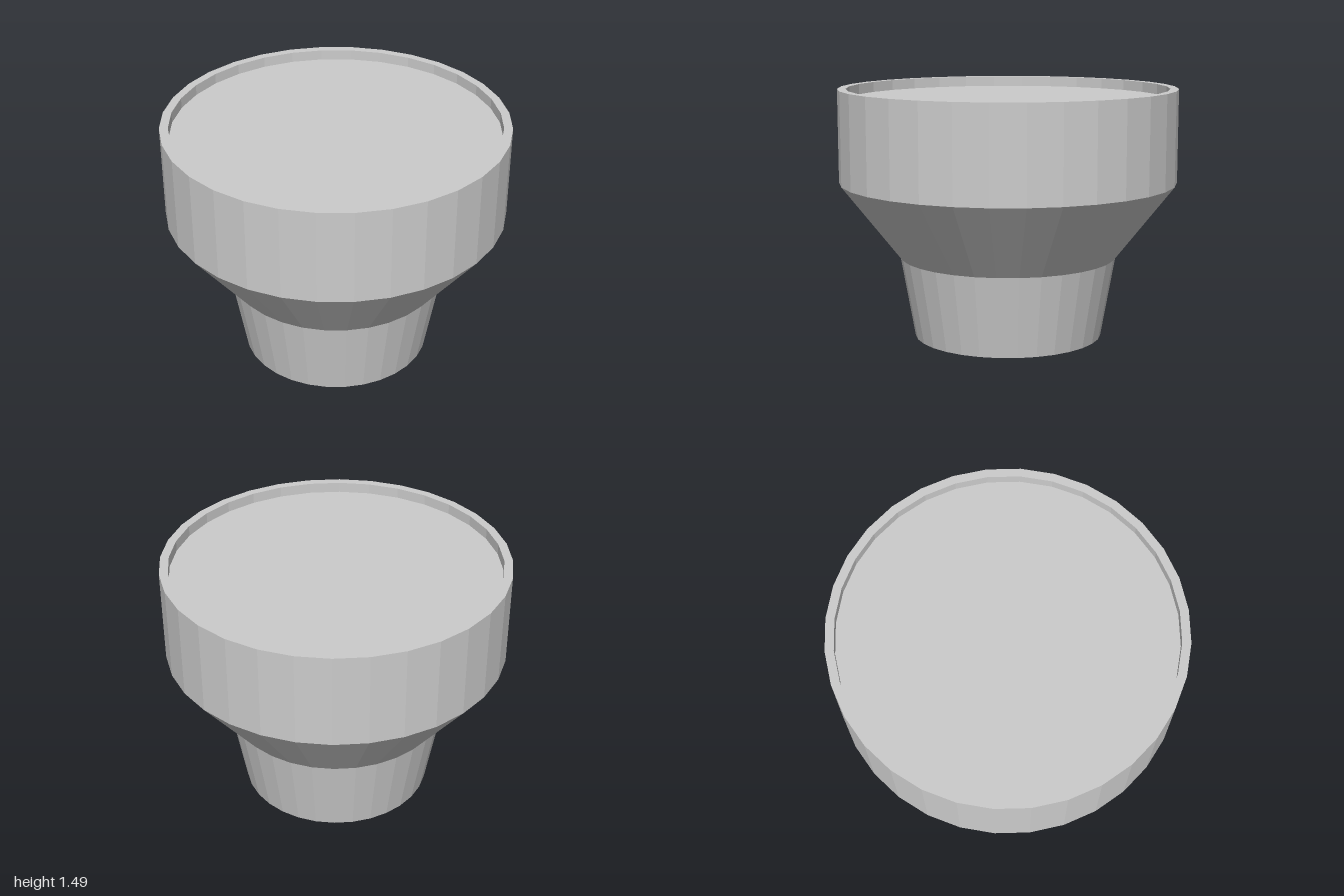
import * as THREE from 'three';

const SIDES = 32;

export function createModel() {
  const group = new THREE.Group();
  group.name = 'steppedCup';
  const material = new THREE.MeshStandardMaterial({ color: 0xcccccc, flatShading: true });

  // Each part is a ring profile [radius, y], turned around the y axis.
  const parts = {
    // socket recess in the underside, with its flat ceiling
    socket: [[0, 0.235], [0.448, 0.235], [0.448, 0]],
    // bottom ring and slightly flared foot
    foot: [[0.448, 0], [0.56, 0], [0.645, 0.483]],
    // cone widening up to the drum
    cone: [[0.645, 0.483], [1, 0.936]],
    // straight drum with a thin flat rim
    drum: [[1, 0.936], [1, 1.487], [0.95, 1.487]],
    // shallow tray sunk inside the rim
    tray: [[0.95, 1.487], [0.95, 1.425], [0, 1.425]],
  };

  for (const [name, profile] of Object.entries(parts)) {
    const points = profile.map(([r, y]) => new THREE.Vector2(r, y));
    const mesh = new THREE.Mesh(new THREE.LatheGeometry(points, SIDES), material);
    mesh.name = name;
    group.add(mesh);
  }
  return group;
}
